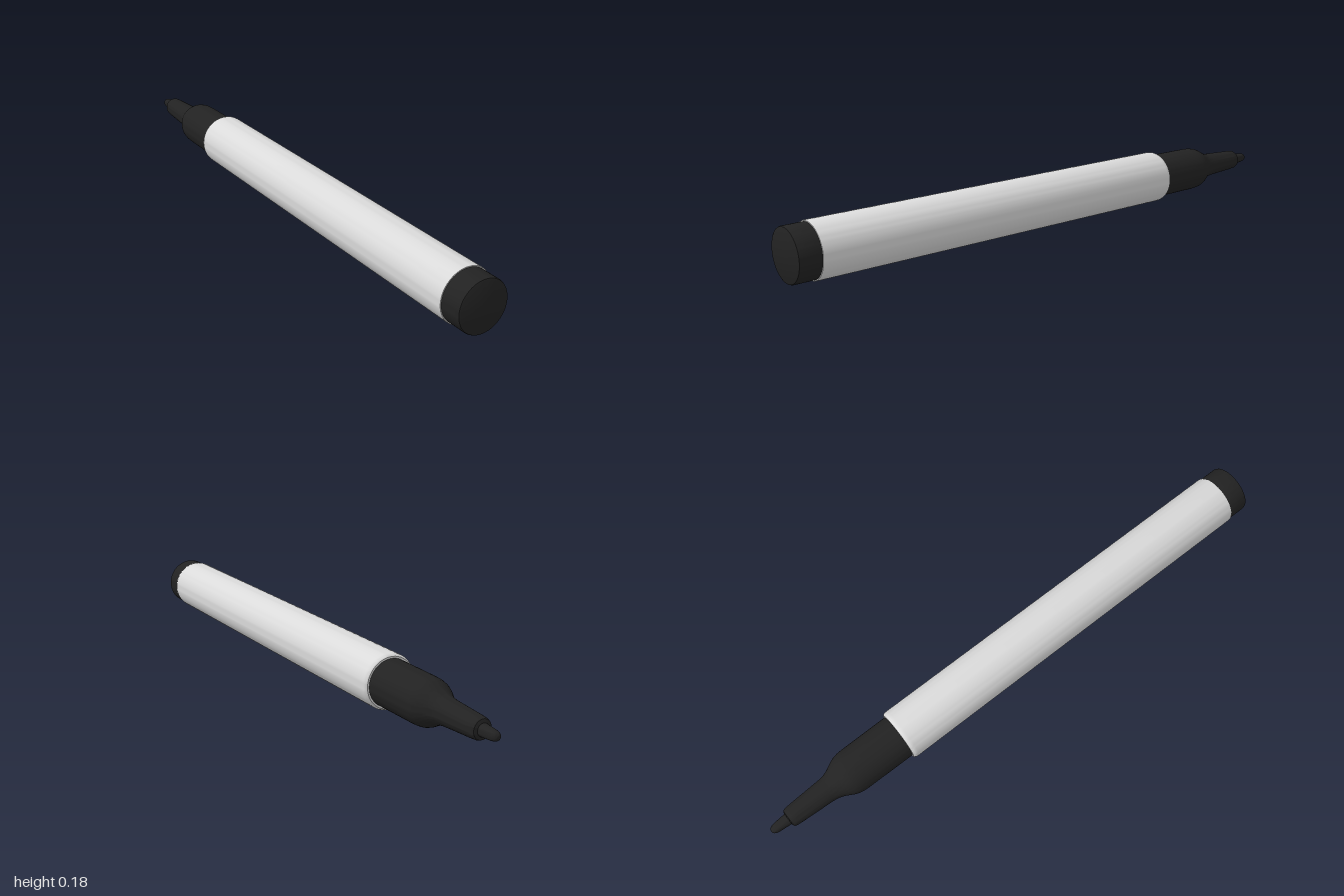
import * as THREE from 'three';
import { toCreasedNormals } from 'three/addons/utils/BufferGeometryUtils.js';

const RADIUS = 0.091;

// Revolve [radius, z] points, listed from back (-z) to front (+z), about the pen's axis
function turned(name, profile, material) {
  const points = profile.map(([r, z]) => new THREE.Vector2(r, z));
  const geometry = new THREE.LatheGeometry(points, 64);
  geometry.rotateX(Math.PI / 2);
  const mesh = new THREE.Mesh(toCreasedNormals(geometry, 0.6), material);
  mesh.name = name;
  mesh.position.y = RADIUS;
  return mesh;
}

export function createModel() {
  const pen = new THREE.Group();
  pen.name = 'markerPen';

  const black = new THREE.MeshStandardMaterial({ color: 0x222222 });
  black.name = 'blackPlastic';
  const grey = new THREE.MeshStandardMaterial({ color: 0xdadada });
  grey.name = 'paleGreyBarrel';

  // Barrel with softened rims
  pen.add(turned('barrel', [
    [0.074, -0.49], [0.084, -0.49], [0.088, -0.487], [0.0905, -0.481], [RADIUS, -0.472],
    [RADIUS, 0.921], [0.09, 0.925], [0.08, 0.925],
  ], grey));

  // End plug at the front
  pen.add(turned('endPlug', [
    [0.087, 0.915], [0.087, 0.993], [0.085, 0.998], [0.081, 1], [0, 1],
  ], black));

  // Shoulder sweeping into the slim nose
  pen.add(turned('nose', [
    [0, -0.934], [0.025, -0.934], [0.031, -0.931], [0.034, -0.924], [0.036, -0.9],
    [0.042, -0.785], [0.045, -0.765], [0.051, -0.747], [0.06, -0.73], [0.068, -0.715],
    [0.073, -0.702], [0.076, -0.685], [0.077, -0.66], [0.078, -0.48],
  ], black));

  // Rounded writing tip
  pen.add(turned('nib', [
    [0, -1], [0.006, -0.999], [0.011, -0.995], [0.015, -0.987],
    [0.017, -0.975], [0.021, -0.925],
  ], black));

  return pen;
}
